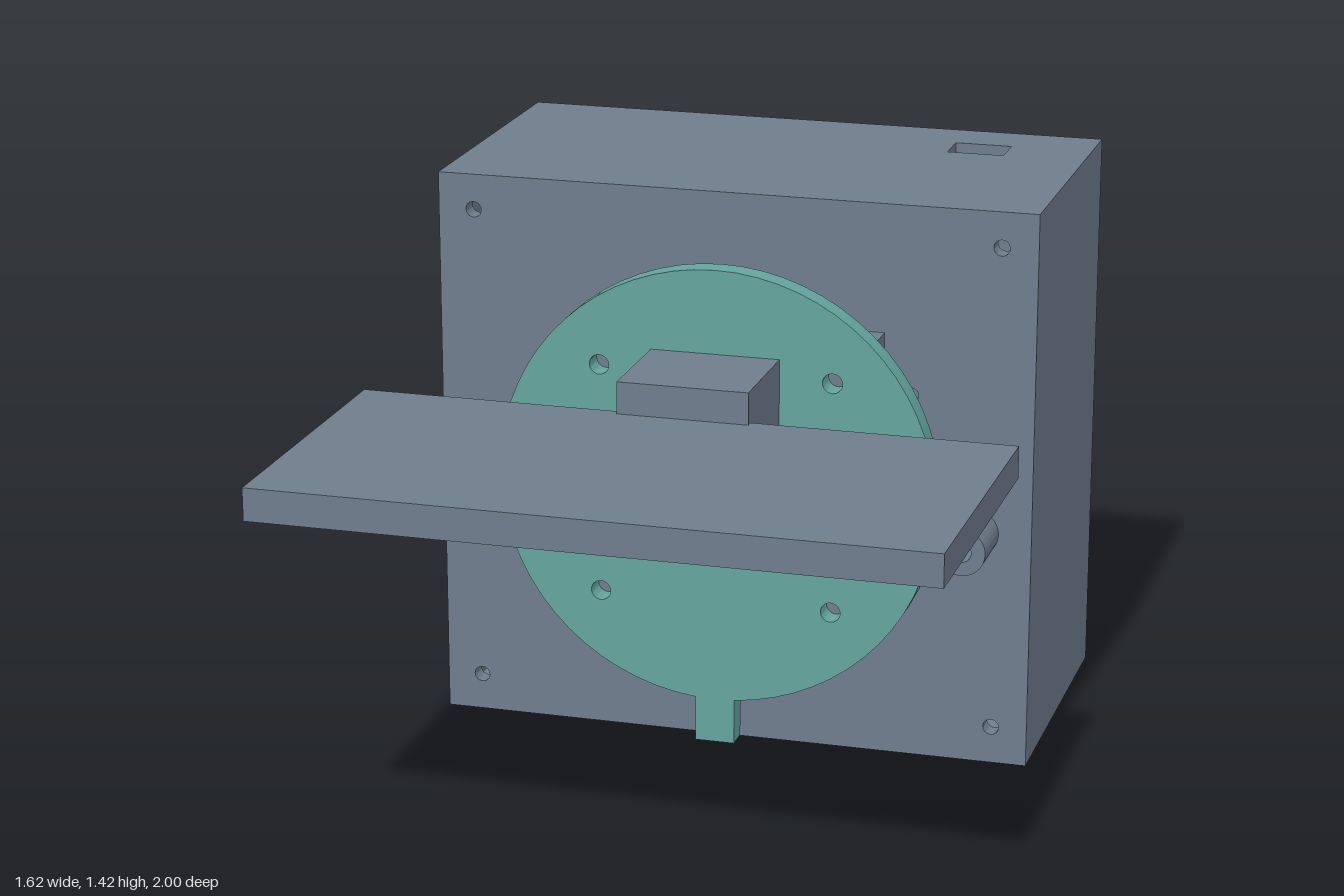
import * as THREE from 'three';
import { toCreasedNormals } from 'three/addons/utils/BufferGeometryUtils.js';

const mat = (name, color) => Object.assign(new THREE.MeshStandardMaterial({ color }), { name });

// Circular and rectangular holes
const roundHole = (x, y, r) => new THREE.Path().absarc(x, y, r, 0, Math.PI * 2, true);
const slotHole = (x, y, w, h) => new THREE.Path([[-1, -1], [-1, 1], [1, 1], [1, -1], [-1, -1]]
  .map(([a, b]) => new THREE.Vector2(x + a * w / 2, y + b * h / 2)));

const rect = (x0, y0, x1, y1) => new THREE.Shape([[x0, y0], [x1, y0], [x1, y1], [x0, y1]]
  .map(([x, y]) => new THREE.Vector2(x, y)));

export function createModel() {
  const model = new THREE.Group();
  const grey = mat('slate grey', 0x6f7d8c);
  const teal = mat('teal', 0x64a59e);
  const brass = mat('brass', 0xb6a680);

  const add = (name, geometry, material, parent = model) => {
    const mesh = new THREE.Mesh(geometry, material);
    mesh.name = name;
    parent.add(mesh);
    return mesh;
  };
  const box = (name, x0, x1, y0, y1, z0, z1, material, parent) => {
    const mesh = add(name, new THREE.BoxGeometry(x1 - x0, y1 - y0, z1 - z0), material, parent);
    mesh.position.set((x0 + x1) / 2, (y0 + y1) / 2, (z0 + z1) / 2);
  };
  const plate = (name, shape, holes, depth, material, parent) => {
    shape.holes.push(...holes);
    const g = new THREE.ExtrudeGeometry(shape, { depth, bevelEnabled: false, curveSegments: 32 });
    return add(name, toCreasedNormals(g, 0.5), material, parent);
  };
  const rod = (name, x, y, r, z0, z1, material) => {
    const g = new THREE.CylinderGeometry(r, r, z1 - z0, 32).rotateX(Math.PI / 2);
    add(name, g, material).position.set(x, y, (z0 + z1) / 2);
  };

  const W = 0.763, H = 1.425, BACK = -1, FRONT = -0.208, T = 0.05, CY = 0.715;

  // Hollow housing made of panels
  const housing = new THREE.Group();
  housing.name = 'housing';
  model.add(housing);

  const frontHoles = [];
  for (const s of [-1, 1]) {
    for (const y of [0.095, 1.335]) frontHoles.push(roundHole(s * 0.672, y, 0.02));
    for (const y of [-0.23, 0.23]) frontHoles.push(roundHole(s * 0.453, CY + y, 0.02));
  }
  plate('frontPanel', rect(-W, 0, W, H), frontHoles, T, grey, housing).position.z = FRONT - T;

  const backHoles = [roundHole(0, CY, 0.035)];
  for (const x of [0.617, 0.37, -0.325, -0.587])
    for (const y of [0.527, 0.897]) backHoles.push(slotHole(x, y, 0.035, 0.1));
  plate('backPanel', rect(-W, 0, W, H), backHoles, T, grey, housing).position.z = BACK;

  box('leftPanel', W - T, W, 0, H, BACK + T, FRONT - T, grey, housing);
  const right = plate('rightPanel', rect(-FRONT + T, 0, -BACK - T, H),
    [roundHole(0.756, 0.33, 0.034)], T, grey, housing);
  right.rotation.y = Math.PI / 2;
  right.position.x = -W;

  box('bottomPanel', -W + T, W - T, 0, T, BACK + T, FRONT - T, grey, housing);
  const top = plate('topPanel', rect(-W + T, -FRONT + T, W - T, -BACK - T),
    [slotHole(0.483, 0.81, 0.145, 0.1)], T, grey, housing);
  top.rotation.x = -Math.PI / 2;
  top.position.y = H - T;

  // Motor block behind the wheel
  box('motorBlock', -0.385, 0.385, CY - 0.385, CY + 0.385, FRONT, -0.105, grey);

  // Wheel with pointer tab and bolt holes
  const R = 0.557, tab = 0.05, a = Math.asin(tab / R);
  const wheel = new THREE.Shape();
  wheel.moveTo(-tab, 0.045);
  wheel.lineTo(tab, 0.045);
  wheel.absarc(0, CY, R, -Math.PI / 2 + a, Math.PI * 1.5 - a, false);
  wheel.closePath();
  const wheelHoles = [roundHole(0, CY, 0.062)];
  for (const s of [-1, 1]) {
    wheelHoles.push(roundHole(s * 0.122, CY, 0.019));
    for (const y of [-0.295, 0.295]) wheelHoles.push(roundHole(s * 0.296, CY + y, 0.025));
  }
  plate('wheel', wheel, wheelHoles, 0.06, teal).position.z = -0.105;

  // Brass hub, shaft and screws set into the wheel
  rod('hub', 0, CY, 0.062, -0.106, -0.085, brass);
  rod('shaft', 0, CY, 0.033, -0.106, -0.06, brass);
  for (const s of [-1, 1]) rod('hubScrew', s * 0.122, CY, 0.019, -0.106, -0.085, brass);

  // Hollow posts on either side
  for (const s of [-1, 1]) {
    const ring = new THREE.Shape().absarc(0, 0, 0.06, 0, Math.PI * 2, false);
    plate('sidePost', ring, [roundHole(0, 0, 0.025)], 0.153, grey)
      .position.set(s * 0.62, 0.605, FRONT);
  }

  // Arm and shelf
  box('arm', -0.163, 0.163, 0.817, 1.06, -0.045, 0.238, grey);
  box('shelf', -0.812, 0.812, 0.9, 0.98, 0.218, 1, grey);

  return model;
}
